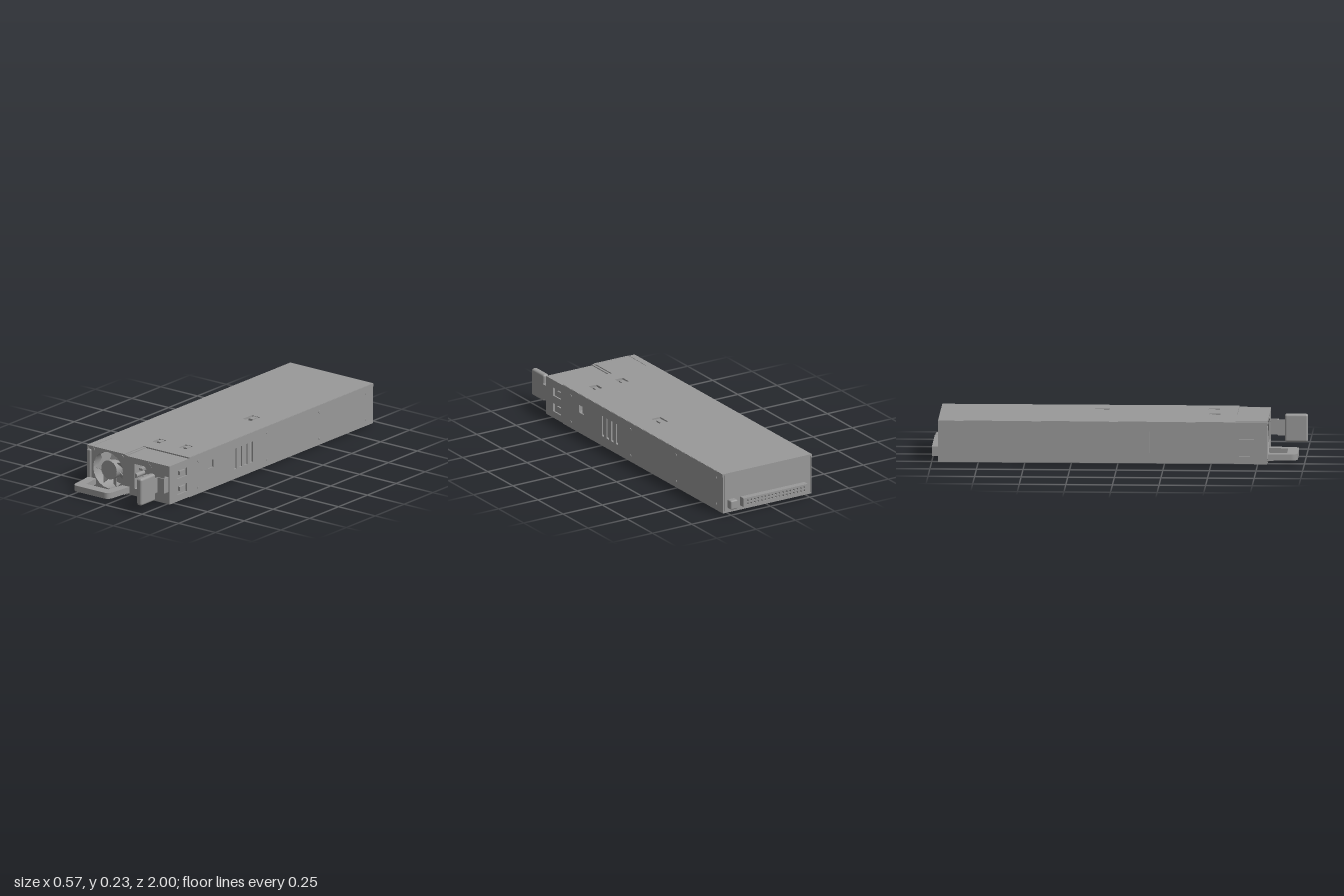
import * as THREE from 'three';
import { RoundedBoxGeometry } from 'three/addons/geometries/RoundedBoxGeometry.js';

const steel = new THREE.MeshStandardMaterial({ color: 0x999999, side: THREE.DoubleSide });
steel.name = 'greySteel';

const poly = (pts, T = THREE.Shape) => new T(pts.map(p => new THREE.Vector2(...p)));
const rect = (x0, x1, y0, y1, T = THREE.Shape) => poly([[x0, y0], [x1, y0], [x1, y1], [x0, y1]], T);
const hole = (...r) => rect(...r, THREE.Path);
const round = (x, y, r) => new THREE.Path().absarc(x, y, r, 0, Math.PI * 2, true);

export function createModel() {
  const model = new THREE.Group();
  model.name = 'powerSupply';

  const add = (name, geo, x = 0, y = 0, z = 0, parent = model) => {
    const m = new THREE.Mesh(geo, steel);
    m.name = name;
    m.position.set(x, y, z);
    parent.add(m);
    return m;
  };
  // Box given by its limits
  const box = (name, x0, x1, y0, y1, z0, z1) =>
    add(name, new THREE.BoxGeometry(x1 - x0, y1 - y0, z1 - z0), (x0 + x1) / 2, (y0 + y1) / 2, (z0 + z1) / 2);
  const sheet = (shape, holes, depth) => {
    shape.holes.push(...holes);
    return new THREE.ExtrudeGeometry(shape, { depth, bevelEnabled: false, curveSegments: 10 });
  };

  // Case floor and back
  box('floor', -0.285, 0.28, 0.005, 0.013, -0.965, 0.63);
  box('fanFloor', -0.285, -0.02, 0.003, 0.013, 0.63, 0.8);
  box('socketFloor', -0.02, 0.28, 0.009, 0.016, 0.63, 0.8);
  box('backWall', -0.275, 0.27, 0.013, 0.222, -0.965, -0.957);

  // Cover with tab openings, then the lower front roof over the socket
  const tabs = [[0.13, -0.1, 0.056, 0.078], [-0.018, 0.51, 0.05, 0.06], [0.155, 0.5, 0.05, 0.06]];
  const cover = poly([[-0.285, -0.965], [0.28, -0.965], [0.28, 0.63], [-0.03, 0.63], [-0.03, 0.8], [-0.285, 0.8]]);
  add('cover', sheet(cover, tabs.map(([x, z, w, d]) => hole(x - w / 2, x + w / 2, z - d / 2, z + d / 2)), 0.008)
    .rotateX(Math.PI / 2), 0, 0.23, 0);
  tabs.forEach(([x, z, w, d]) => {
    box('tabFloor', x - w / 2, x + w / 2, 0.205, 0.21, z - d / 2, z + d / 2);
    box('tabTongue', x - w * 0.25, x + w * 0.25, 0.21, 0.228, z - d / 2, z + d * 0.1);
  });
  box('socketRoof', -0.03, 0.28, 0.215, 0.223, 0.63, 0.8);
  box('coverSeam', -0.252, -0.246, 0.228, 0.232, 0.63, 0.8);

  // Side walls with vents and latch windows
  const windows = [[0.045, 0.092], [0.135, 0.18]];
  for (const right of [true, false]) {
    const holes = [0.09, 0.137, 0.183, 0.23].map(z => hole(z - 0.012, z + 0.012, 0.06, 0.176));
    windows.forEach(([a, b]) => holes.push(hole(0.65, 0.73, a, b)));
    if (right) holes.push(hole(0.42, 0.468, 0.122, 0.165));
    add(right ? 'wallPlusX' : 'wallMinusX', sheet(rect(-0.965, 0.8, 0.008, 0.224), holes, 0.008)
      .rotateY(-Math.PI / 2), right ? 0.28 : -0.277, 0, 0);
    const x = right ? 0.26 : -0.265;
    windows.forEach(([a, b]) => {
      box('windowBacking', x - 0.004, x, a - 0.01, b + 0.01, 0.64, 0.74);
      box('windowTongue', x, x + 0.012, a + 0.012, b - 0.012, 0.65, 0.7);
    });
    box('ventBacking', x - 0.014, x - 0.01, 0.05, 0.19, 0.06, 0.48);
    const face = right ? 0.28 : -0.285;
    box('coverLip', face - 0.002, face + 0.002, 0.212, 0.229, -0.965, 0.63);
    box('moduleSeam', face - 0.002, face + 0.002, 0.008, 0.224, 0.627, 0.632);
    // Rivets
    if (right) for (const z of [0.55, -0.045, -0.5, -0.9]) for (const y of [0.04, 0.19])
      add('rivet', new THREE.CylinderGeometry(0.008, 0.008, 0.006, 10).rotateZ(Math.PI / 2), face, y, z);
  }

  // Fan plate, tunnel, hub and blades
  const fx = -0.137, fy = 0.117;
  add('fanPlate', sheet(rect(-0.25, -0.025, 0.001, 0.231), [round(fx, fy, 0.102)], 0.01), 0, 0, 0.792);
  add('fanTunnel', new THREE.CylinderGeometry(0.102, 0.102, 0.1, 24, 1, true).rotateX(Math.PI / 2), fx, fy, 0.744);
  add('fanBack', new THREE.CircleGeometry(0.102, 24), fx, fy, 0.695);
  const fan = new THREE.Group();
  fan.name = 'fan';
  fan.position.set(fx, fy, 0.75);
  model.add(fan);
  add('hub', new THREE.CylinderGeometry(0.053, 0.053, 0.09, 20).rotateX(Math.PI / 2), 0, 0, 0, fan);
  for (let i = 0; i < 7; i++) {
    const arm = new THREE.Group();
    arm.name = 'bladeArm';
    arm.rotation.z = i / 7 * Math.PI * 2 + 0.3;
    fan.add(arm);
    add('blade', new THREE.BoxGeometry(0.05, 0.075, 0.004), 0.073, 0, 0, arm).rotation.x = 0.7;
  }
  for (const x of [-0.235, -0.042]) for (const y of [0.018, 0.215])
    add('screw', new THREE.CylinderGeometry(0.009, 0.009, 0.006, 12).rotateX(Math.PI / 2), x, y, 0.803);

  // Corner clip strip and the divider between the modules
  box('cornerWall', -0.279, -0.25, 0.008, 0.228, 0.785, 0.795);
  add('cornerClip', new RoundedBoxGeometry(0.03, 0.185, 0.03, 3, 0.008), -0.27, 0.117, 0.79);
  box('divider', -0.025, -0.013, 0.005, 0.228, 0.63, 0.801);

  // Socket panel with a chamfered recess and three pins
  const chamfer = (x0, x1, y0, y1, c, T) =>
    poly([[x0, y0], [x1 - c, y0], [x1, y0 + c], [x1, y1 - c], [x1 - c, y1], [x0, y1]], T);
  add('socketPanel', sheet(rect(-0.015, 0.276, 0.01, 0.222),
    [chamfer(0.01, 0.165, 0.02, 0.22, 0.035, THREE.Path), hole(0.245, 0.272, 0.078, 0.162)], 0.01), 0, 0, 0.79);
  add('socketBezel', sheet(chamfer(0.01, 0.165, 0.02, 0.22, 0.035),
    [chamfer(0.04, 0.13, 0.05, 0.19, 0.022, THREE.Path)], 0.08), 0, 0, 0.721);
  box('socketBack', 0.01, 0.165, 0.02, 0.215, 0.71, 0.722);
  for (const [x, y] of [[0.072, 0.16], [0.095, 0.12], [0.072, 0.082]])
    box('pin', x - 0.012, x + 0.012, y - 0.006, y + 0.006, 0.72, 0.785);
  add('socketKey', new THREE.CylinderGeometry(0.013, 0.013, 0.07, 12).rotateX(Math.PI / 2), 0.041, 0.121, 0.758);
  box('latchPocket', 0.24, 0.27, 0.07, 0.17, 0.76, 0.765);

  // Bent release lever with a rounded grip
  const lever = poly([[0.274, 0.765], [0.274, 0.842], [0.232, 0.842], [0.232, 0.89], [0.226, 0.89],
    [0.226, 0.836], [0.268, 0.836], [0.268, 0.765]]);
  add('lever', sheet(lever, [], 0.084).rotateX(Math.PI / 2), 0, 0.163, 0);
  add('leverGrip', new RoundedBoxGeometry(0.035, 0.152, 0.125, 4, 0.012), 0.228, 0.12, 0.9375);

  // Pull handle
  const loop = new THREE.Shape();
  loop.moveTo(-0.272, 0.8);
  loop.lineTo(-0.258, 0.93);
  loop.quadraticCurveTo(-0.252, 0.963, -0.222, 0.963);
  loop.lineTo(-0.04, 0.963);
  loop.quadraticCurveTo(-0.012, 0.963, -0.006, 0.93);
  loop.lineTo(0.008, 0.8);
  [[-0.04, 0.8], [-0.056, 0.905], [-0.205, 0.905], [-0.222, 0.8]].forEach(p => loop.lineTo(...p));
  add('handle', sheet(loop, [], 0.033).rotateX(Math.PI / 2), 0, 0.053, 0);

  // Rear edge connector with two rows of contacts, and the small side plug
  const contacts = [];
  for (let i = 0; i < 17; i++) for (const y of [0.046, 0.064]) {
    const x = -0.215 + i * 0.0225;
    contacts.push(hole(x - 0.005, x + 0.005, y - 0.005, y + 0.005));
  }
  add('rearConnector', sheet(rect(-0.238, 0.17, 0.03, 0.08), contacts, 0.036), 0, 0, -1);
  add('rearPlug', new RoundedBoxGeometry(0.045, 0.052, 0.04, 3, 0.008), 0.228, 0.055, -0.98);

  return model;
}
